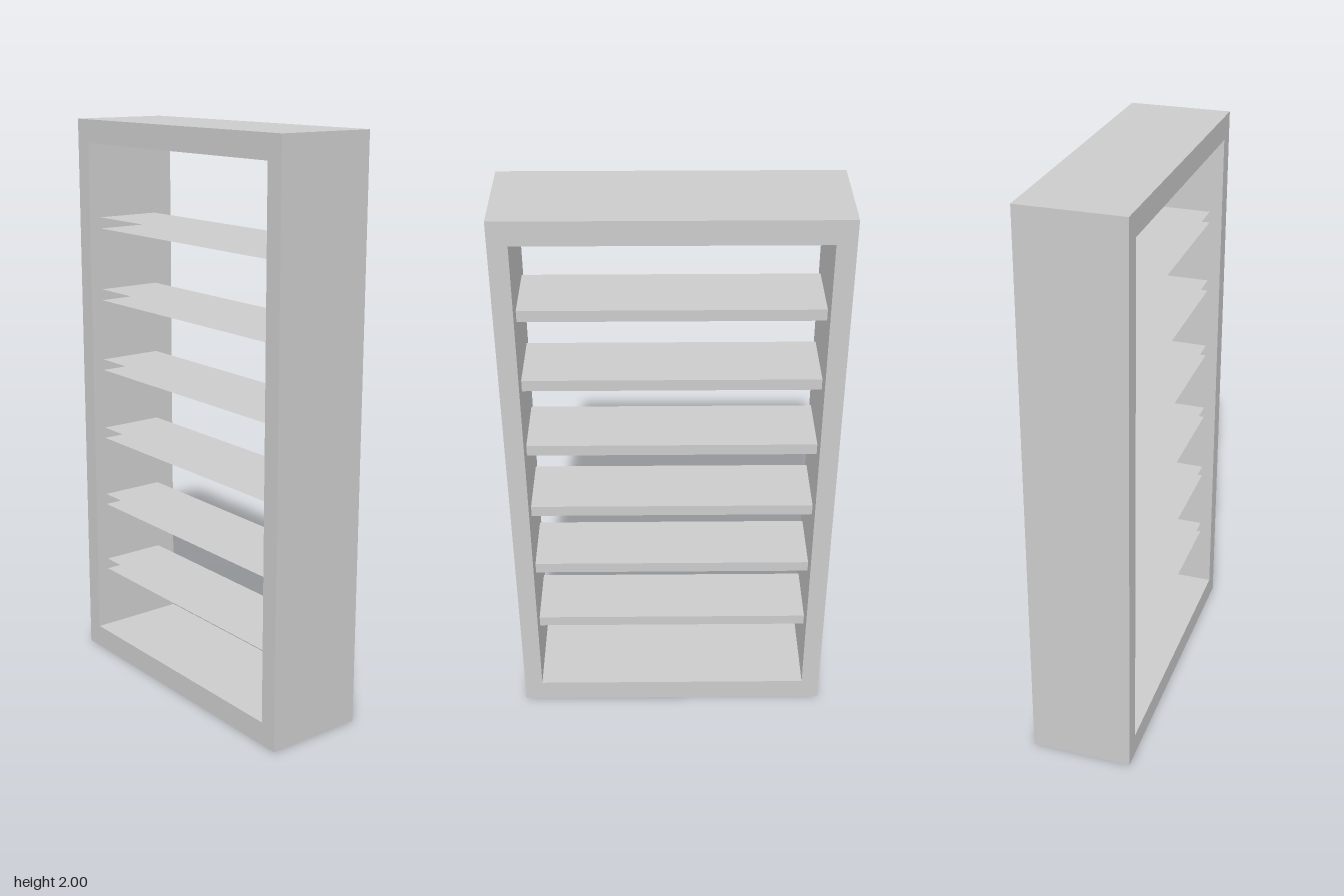
import * as THREE from 'three';

const W = 0.354, H = 2, D = 1.11;          // outer width (x), height, depth (z)
const INNER_D = 0.982, SILL = 0.082;       // opening depth, top and bottom thickness
const SHELVES = 6, FIRST = 0.33, STEP = 0.261, THICK = 0.04;
const X0 = -0.133, X1 = 0.104;             // shelf extent across the frame

const path = (C, pts) => new C(pts.map(([x, y]) => new THREE.Vector2(x, y)));
const rect = (C, w, y0, y1) =>
  path(C, [[-w / 2, y0], [w / 2, y0], [w / 2, y1], [-w / 2, y1]]);

export function createModel() {
  const model = new THREE.Group();
  model.name = 'shelfUnit';
  const material = new THREE.MeshStandardMaterial({ color: 0xcccccc, flatShading: true });
  const thin = new THREE.MeshStandardMaterial({
    color: 0xcccccc, flatShading: true, side: THREE.DoubleSide,
  });

  // Rectangular frame, open on both broad sides
  const outline = rect(THREE.Shape, D, 0, H);
  outline.holes.push(rect(THREE.Path, INNER_D, SILL, H - SILL));
  const frameGeo = new THREE.ExtrudeGeometry(outline, { depth: W, bevelEnabled: false });
  frameGeo.translate(0, 0, -W / 2).rotateY(Math.PI / 2);
  const frame = new THREE.Mesh(frameGeo, material);
  frame.name = 'frame';
  model.add(frame);

  // Hollow shelves: top, bottom and +x edge, left open towards -x
  const shelfGeo = new THREE.BoxGeometry(X1 - X0, THICK, INNER_D);
  const index = Array.from(shelfGeo.index.array);
  index.splice(6, 6);                      // drop the -x face
  shelfGeo.setIndex(index);
  shelfGeo.clearGroups();
  for (let i = 0; i < SHELVES; i++) {
    const shelf = new THREE.Mesh(shelfGeo, thin);
    shelf.name = `shelf${i + 1}`;
    shelf.position.set((X0 + X1) / 2, FIRST + i * STEP, 0);
    model.add(shelf);
  }
  return model;
}
